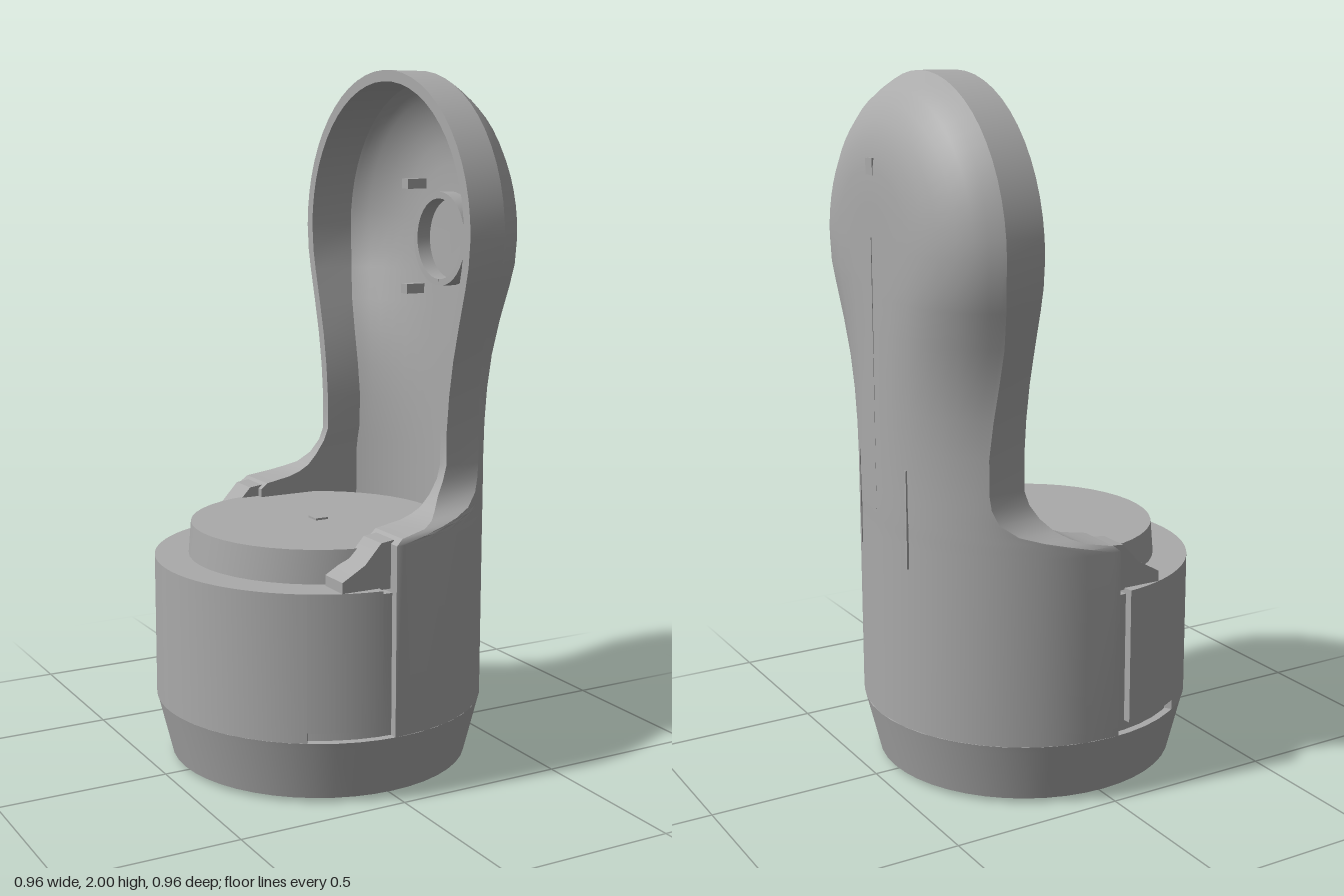
import * as THREE from 'three';
import { toCreasedNormals } from 'three/addons/utils/BufferGeometryUtils.js';

const R = 0.482;
const HEAD_Y = 1.537, HEAD_R = 0.463;
const FRONT_X = 0.213;
const { lerp, smoothstep } = THREE.MathUtils;

// Linear interpolation in a short table of [input, output] pairs
function table(pairs, v) {
  if (v <= pairs[0][0]) return pairs[0][1];
  for (let i = 1; i < pairs.length; i++) {
    const [a, p] = pairs[i - 1], [b, q] = pairs[i];
    if (v <= b) return lerp(p, q, (v - a) / (b - a));
  }
  return pairs[pairs.length - 1][1];
}

// Rounded back of the paddle: depth for a distance in from its outline
const BEVEL = [[0, 0.325], [0.03, 0.375], [0.06, 0.41], [0.12, 0.448], [0.18, 0.471], [0.25, 0.48]];

// Side outline: height, half width, front edge x
const SIDE = [
  [0.186, 0.482, -0.02], [0.725, 0.482, -0.02], [0.742, 0.477, 0], [0.757, 0.462, 0.08],
  [0.77, 0.44, 0.115], [0.787, 0.408, 0.145], [0.82, 0.377, 0.175], [0.86, 0.364, 0.2],
  [0.9, 0.36, FRONT_X], [1.0, 0.36, FRONT_X], [1.1, 0.37, FRONT_X], [1.2, 0.388, FRONT_X],
  [1.3, 0.414, FRONT_X], [1.4, 0.442, FRONT_X], [1.46, 0.456, FRONT_X],
];
const STEPS = [0, 0.015, 0.05, 0.1, 0.18, 0.28, 0.4, 0.55, 0.75, 1];

function depth(y, z, d) {
  const round = Math.sqrt(Math.max(0, R * R - z * z));
  return lerp(round, table(BEVEL, d), smoothstep(y, 0.9, 1.5));
}

// Hollow upright: back half of the base wall flowing into the round-headed paddle
function uprightGeometry() {
  const columns = SIDE.map(([y, w, xf]) => ({ y, z: w, xf, sy: y }));
  const arc = 28;
  for (let i = 0; i <= arc; i++) {
    const a = Math.PI * i / arc;
    columns.push({ y: HEAD_Y + HEAD_R * Math.sin(a), z: HEAD_R * Math.cos(a), xf: FRONT_X, sy: HEAD_Y });
  }
  for (const [y, w, xf] of [...SIDE].reverse()) columns.push({ y, z: -w, xf, sy: y });

  const pos = [], index = [];
  let n = 0;
  for (const c of columns) {
    const len = Math.hypot(c.y - c.sy, c.z);
    const wall = Math.max(0.032, c.y <= 0.9 ? len - 0.335 : 0);
    const at = t => [lerp(c.y, c.sy, t), lerp(c.z, 0, t)];
    const row = [];
    for (const t of [...STEPS].reverse()) {
      const [y, z] = at(t);
      row.push([Math.max(c.xf, depth(y, z, t * len)), y, z]);
    }
    const t0 = wall / len;
    row.push([c.xf, ...at(0)], [c.xf, ...at(t0)]);
    for (const s of STEPS) {
      const t = lerp(t0, 1, s);
      const [y, z] = at(t);
      row.push([Math.max(c.xf, depth(y, z, t * len) - 0.025), y, z]);
    }
    n = row.length;
    pos.push(...row.flat());
  }
  for (let i = 0; i < columns.length - 1; i++) {
    for (let j = 0; j < n - 1; j++) {
      const a = i * n + j, b = a + n;
      index.push(a, b, a + 1, b, b + 1, a + 1);
    }
  }
  const g = new THREE.BufferGeometry();
  g.setAttribute('position', new THREE.Float32BufferAttribute(pos, 3));
  g.setIndex(index);
  return g;
}

// Upright wall following an arc (degrees, 180 is -x)
function arcWall(inner, outer, from, to, y0, y1) {
  const a = from * Math.PI / 180, b = to * Math.PI / 180;
  const s = new THREE.Shape();
  s.absarc(0, 0, outer, a, b, false);
  s.absarc(0, 0, inner, b, a, true);
  const g = new THREE.ExtrudeGeometry(s, { depth: y1 - y0, bevelEnabled: false, curveSegments: 20 });
  return g.rotateX(-Math.PI / 2).translate(0, y0, 0);
}

export function createModel() {
  const model = new THREE.Group();
  const grey = new THREE.MeshStandardMaterial({ color: 0xaaaaaa, side: THREE.DoubleSide });
  grey.name = 'plain grey';

  function add(name, geometry, x = 0, y = 0, z = 0) {
    const mesh = new THREE.Mesh(toCreasedNormals(geometry, 0.5), grey);
    mesh.name = name;
    mesh.position.set(x, y, z);
    model.add(mesh);
  }
  const box = (name, w, h, d, x, y, z) => add(name, new THREE.BoxGeometry(w, h, d), x, y, z);

  // Tapered foot with a recessed underside, and the core inside the walls
  const profile = [[0, 0.06], [0.36, 0.06], [0.385, 0.012], [0.438, 0.012], [0.476, 0.165],
    [0.481, 0.185], [0.46, 0.186], [0.46, 0.59], [0.37, 0.59]];
  add('foot', new THREE.LatheGeometry(profile.map(p => new THREE.Vector2(...p)), 48));
  add('undersideDisc', new THREE.ConeGeometry(0.28, 0.035, 40).rotateX(Math.PI), 0, 0.0175, 0);

  // Front drum wall, with a groove under each end
  add('frontWall', arcWall(0.37, R, 122, 238, 0.186, 0.605));
  add('frontWallEndLeft', arcWall(0.37, R, 97, 122, 0.215, 0.605));
  add('frontWallEndRight', arcWall(0.37, R, 238, 263, 0.215, 0.605));

  // Raised platform with a small square plug
  add('platform', new THREE.CylinderGeometry(0.375, 0.385, 0.12, 44), 0, 0.64, 0);
  box('platformPlug', 0.04, 0.008, 0.045, 0, 0.702, 0);

  // Ramps joining the low rim to the tall wall
  const ramp = new THREE.Shape([[-0.17, 0.6], [-0.01, 0.6], [-0.01, 0.735], [-0.05, 0.73],
    [-0.1, 0.675], [-0.17, 0.635]].map(p => new THREE.Vector2(...p)));
  for (const z of [0.355, -0.45]) {
    add('rimRamp', new THREE.ExtrudeGeometry(ramp, { depth: 0.095, bevelEnabled: false }), 0, 0, z);
  }

  add('upright', uprightGeometry());

  // Round boss and four pegs inside the paddle head
  add('headBoss', arcWall(0.12, 0.14, 0, 359.9, 0, 0.06).rotateZ(-Math.PI / 2), 0.41, 1.51, 0);
  for (const y of [1.35, 1.67]) {
    for (const z of [-0.16, 0.16]) box('headPeg', 0.075, 0.03, 0.035, 0.425, y, z);
  }

  // Fine seams and a small square stud on the back
  box('backSeam', 0.006, 0.76, 0.008, 0.479, 1.18, 0);
  for (const z of [-0.145, 0.145]) box('sideSeam', 0.008, 0.28, 0.008, 0.458, 0.8, z);
  box('backStud', 0.008, 0.045, 0.04, 0.478, 1.75, 0);

  return model;
}
